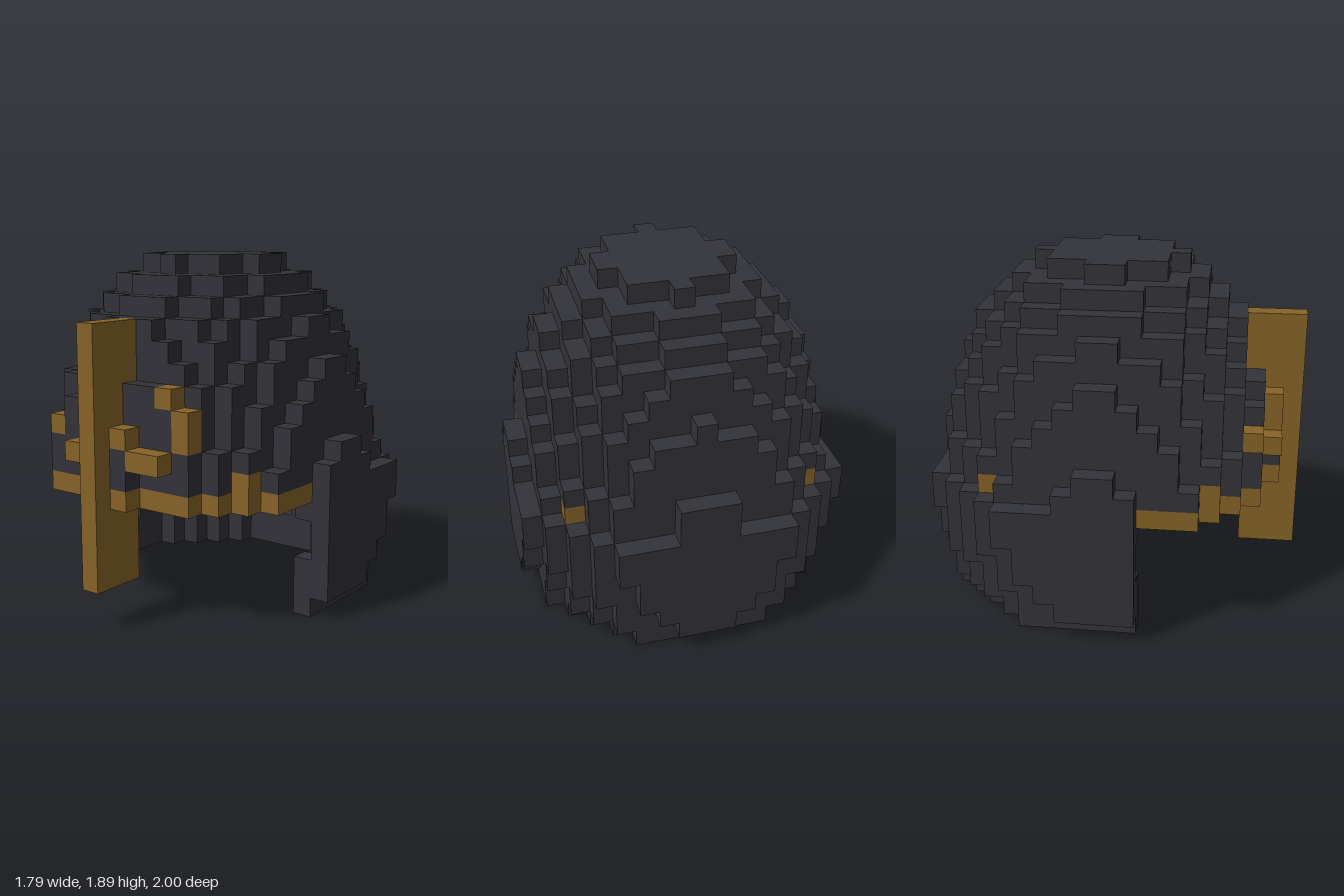
import * as THREE from 'three';
import { mergeGeometries } from 'three/addons/utils/BufferGeometryUtils.js';

const S = 2 / 19;      // size of one cube
const CENTRE = 8.5;    // middle of the helmet along z, in cubes
const RIM = 6;         // layer of the gold rim
const FRONT = 11;      // first cube row of the face opening

// Squared half-axes [x, z] of the oval in each layer, bottom to top
const LAYERS = [
  [60, 70], [66.5, 75], [70.5, 80], [75.5, 85.5], [76, 90], [80.5, 99], [80.5, 99],
  [67, 76.5], [64.5, 75], [60, 70], [55, 68.5], [51.5, 64], [49.3, 57],
  [42, 50], [36.3, 43.5], [28, 35], [19, 23.5], [9.5, 12.5],
];

function solid(x, y, z) {
  if (y < 0) return true;
  if (y > 17 || z < 0 || z > 17) return false;
  // The rim follows the dome above it at the face opening
  const inRim = y === RIM && z >= FRONT;
  if (inRim && Math.abs(x) > 7) return false;
  const [a, b] = LAYERS[inRim ? RIM + 1 : y];
  return (x * x) / a + (z - CENTRE) ** 2 / b <= 1;
}

// A cube is part of the shell if any cube around it, corners included, is empty
function onShell(x, y, z) {
  for (let dx = -1; dx <= 1; dx++)
    for (let dy = -1; dy <= 1; dy++)
      for (let dz = -1; dz <= 1; dz++)
        if (!solid(x + dx, y + dy, z + dz)) return true;
  return false;
}

// Six sides of a cube: direction and a ready-turned square
const SIDES = [
  [1, 0, 0, 'y', Math.PI / 2], [-1, 0, 0, 'y', -Math.PI / 2],
  [0, 1, 0, 'x', -Math.PI / 2], [0, -1, 0, 'x', Math.PI / 2],
  [0, 0, 1, 'y', 0], [0, 0, -1, 'y', Math.PI],
].map(([x, y, z, axis, angle]) => {
  const square = new THREE.PlaneGeometry(S, S);
  if (axis === 'x') square.rotateX(angle);
  else square.rotateY(angle);
  square.translate((x * S) / 2, (y * S) / 2, (z * S) / 2);
  return { x, y, z, square };
});

export function createModel() {
  const iron = new THREE.MeshStandardMaterial({ color: 0x33333a });
  iron.name = 'darkIron';
  const gold = new THREE.MeshStandardMaterial({ color: 0x876428 });
  gold.name = 'oldGold';

  const cells = new Map();
  const key = (x, y, z) => `${x},${y},${z}`;
  const put = (part, x, y, z) => cells.set(key(x, y, z), { part, x, y, z });

  // Hollow shell: dome, neck and cheek guard, and rim over the face
  for (let y = 0; y < 18; y++) {
    for (let z = 0; z < 18; z++) {
      if (y < RIM && z >= FRONT) continue;
      for (let x = -8; x <= 8; x++) {
        if (!solid(x, y, z) || !onShell(x, y, z)) continue;
        const part = y > RIM ? 'dome' : z >= FRONT ? 'rimBand' : 'neckAndCheekGuard';
        put(part, x, y, z);
      }
    }
  }

  // Studs above the rim, two on each side
  for (const x of [-6, 6]) for (const z of [3, 14]) put('studs', x, 7, z);

  // Curling ornament on the brow
  for (const [x, y, z] of [
    [3, 11, 16], [4, 10, 16], [4, 9, 16], [-4, 9, 16],
    [3, 8, 17], [2, 8, 17], [1, 9, 17], [-1, 10, 17], [-1, 9, 17], [-2, 8, 17],
  ]) put('browOrnament', x, y, z);

  // Tall nose guard
  for (let y = 2; y <= 14; y++) for (let z = 16; z <= 18; z++) put('noseGuard', 0, y, z);

  // Collect the exposed squares of each part
  const faces = {};
  for (const { part, x, y, z } of cells.values()) {
    for (const s of SIDES) {
      if (cells.has(key(x + s.x, y + s.y, z + s.z))) continue;
      const face = s.square.clone().translate(x * S, (y + 0.5) * S, (z - 9) * S);
      (faces[part] ??= []).push(face);
    }
  }

  const group = new THREE.Group();
  group.name = 'helmet';
  for (const [part, list] of Object.entries(faces)) {
    const isIron = part === 'dome' || part === 'neckAndCheekGuard';
    const mesh = new THREE.Mesh(mergeGeometries(list), isIron ? iron : gold);
    mesh.name = part;
    group.add(mesh);
  }
  return group;
}
